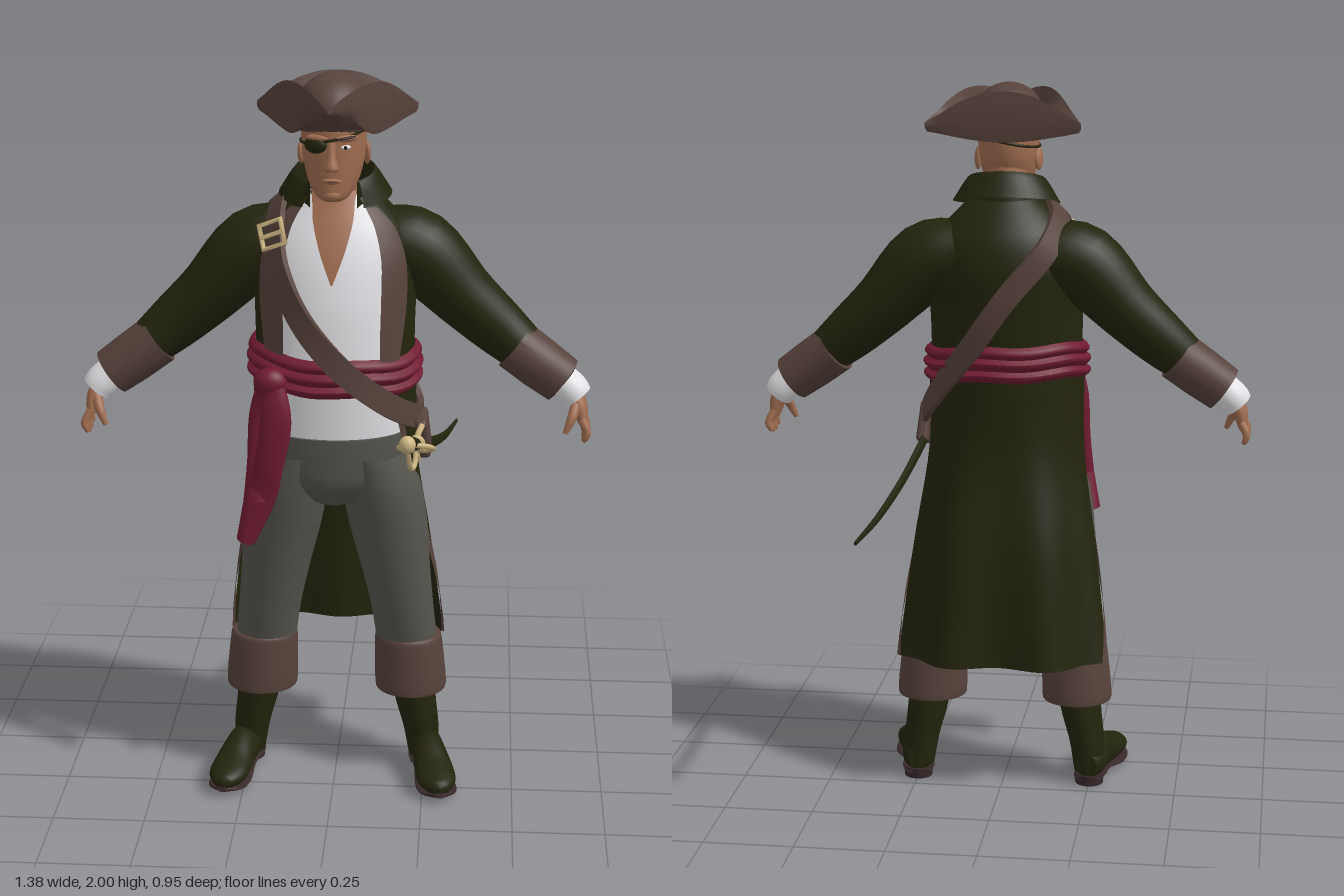
import * as THREE from 'three';
import { toCreasedNormals } from 'three/addons/utils/BufferGeometryUtils.js';
import { RoundedBoxGeometry } from 'three/addons/geometries/RoundedBoxGeometry.js';

const V = (x, y, z) => new THREE.Vector3(x, y, z);
const rad = THREE.MathUtils.degToRad;

export function createModel() {
  const root = new THREE.Group();
  const paint = (name, color) => Object.assign(new THREE.MeshStandardMaterial({ color, side: THREE.DoubleSide }), { name });
  const coat = paint('dark olive cloth', 0x23240d), leather = paint('brown leather', 0x57423b);
  const grey = paint('grey trousers', 0x56554e), red = paint('crimson sash', 0x701b32);
  const white = paint('white shirt', 0xe2e2e6), skin = paint('tanned skin', 0xa06d50);
  const gold = paint('pale gold', 0xcdb581), sole = paint('sole brown', 0x38282a), dark = paint('near black', 0x17150f);

  const add = (name, mat, geo, pos = [0, 0, 0], rot = [0, 0, 0], scale = [1, 1, 1]) => {
    const m = new THREE.Mesh(geo, mat);
    m.name = name;
    m.position.set(...pos); m.rotation.set(...rot); m.scale.set(...scale);
    root.add(m);
    return m;
  };
  const ball = (name, mat, pos, scale, rot) => add(name, mat, new THREE.SphereGeometry(1, 24, 16), pos, rot, scale);
  const tube = (name, mat, pts, r, closed = false) =>
    add(name, mat, new THREE.TubeGeometry(new THREE.CatmullRomCurve3(pts.map(p => V(...p)), closed), 40, r, 8, closed));

  // Skin a grid of points, creasing sharp edges
  const grid = (rows) => {
    const w = rows[0].length, index = [];
    for (let i = 0; i < rows.length - 1; i++) for (let j = 0; j < w - 1; j++) {
      const a = i * w + j, c = a + w;
      index.push(a, a + 1, c, a + 1, c + 1, c);
    }
    let g = new THREE.BufferGeometry().setFromPoints(rows.flat());
    g.setIndex(index);
    g.scale(100, 100, 100);
    g = toCreasedNormals(g, 0.9);
    return g.scale(0.01, 0.01, 0.01);
  };

  // Loft elliptical rings [x, y, z, a, b, startAngle, endAngle]; angle 0 faces the front
  const loft = (name, mat, rings, { flat = false, ref = V(0, 0, 1), n = 28, s = 4, cap = false, rule } = {}) => {
    const curve = f => new THREE.CatmullRomCurve3(rings.map(f), false, 'catmullrom');
    const mid = curve(r => V(r[0], r[1], r[2])), size = curve(r => V(r[3], r[4], 0));
    const arc = curve(r => V(r[5] ?? -180, r[6] ?? 180, 0));
    const rows = [], count = (rings.length - 1) * s;
    const ring = (i, k) => {
      const t = i / count, c = mid.getPoint(t), e = size.getPoint(t), f = arc.getPoint(t);
      let u = V(1, 0, 0), v = V(0, 0, 1);
      if (!flat) {
        const d = mid.getTangent(t);
        u = d.clone().cross(ref).normalize();
        v = u.clone().cross(d);
      }
      rows.push(Array.from({ length: n + 1 }, (_, j) => {
        const q = rad(f.x + (f.y - f.x) * j / n);
        const p = c.clone().addScaledVector(u, e.x * k * Math.sin(q)).addScaledVector(v, e.y * k * Math.cos(q));
        if (rule) rule(p, q, i);
        return p;
      }));
    };
    if (cap) ring(0, 0.001);
    for (let i = 0; i <= count; i++) ring(i, 1);
    if (cap) ring(count, 0.001);
    return add(name, mat, grid(rows));
  };

  // Torso profile: y, centre z, half width, half depth
  const body = [[1.0, 0.155, 0.215, 0.165], [1.2, 0.16, 0.215, 0.175], [1.3, 0.153, 0.213, 0.178], [1.4, 0.145, 0.216, 0.178],
    [1.5, 0.13, 0.22, 0.172], [1.58, 0.125, 0.2, 0.15], [1.64, 0.127, 0.15, 0.115], [1.7, 0.14, 0.085, 0.08]];
  const on = (y, grow, f0, f1) => {
    let i = 0;
    while (i < body.length - 2 && y > body[i + 1][0]) i++;
    const A = body[i], B = body[i + 1], t = (y - A[0]) / (B[0] - A[0]);
    const m = k => A[k] + (B[k] - A[k]) * t;
    return [0, y, m(1), m(2) + grow, m(3) + grow, f0, f1];
  };
  const shell = (name, mat, y0, y1, grow, f0, f1, k = 18) =>
    loft(name, mat, Array.from({ length: k + 1 }, (_, i) => on(y0 + (y1 - y0) * i / k, grow, f0, f1)), { flat: true, s: 1, n: 40 });

  // Shirt, chest and coat body
  shell('shirt', white, 1.02, 1.68, -0.012);
  loft('bareChest', skin, [[1.46, 0.5], [1.53, 8], [1.6, 16], [1.66, 27], [1.69, 40]].map(([y, w]) => on(y, -0.006, -w, w)), { flat: true, s: 3 });
  shell('coatBody', coat, 1.16, 1.69, 0, 37, 323);
  for (const s of [-1, 1])
    loft('lapel', leather, [[1.22, 50], [1.32, 57], [1.42, 60], [1.52, 58], [1.6, 56], [1.65, 50]].map(([y, f]) =>
      on(y, 0.008, s > 0 ? 35 : -f, s > 0 ? f : -35)), { flat: true });

  // Coat skirt, open at the front, with a trimmed edge
  const skirt = [[0.38, 0.05, 0.29, 0.13, 98], [0.7, 0.1, 0.255, 0.16, 77], [0.97, 0.15, 0.22, 0.168, 63], [1.2, 0.16, 0.22, 0.179, 42]];
  const folds = (p, q) => {
    const d = -0.022 * Math.max(0, (1.1 - p.y) / 0.7) * Math.cos(6 * q);
    p.x += Math.sin(q) * d * 0.5; p.z += Math.cos(q) * d;
  };
  loft('coatSkirt', coat, skirt.map(([y, z, a, b, f]) => [0, y, z, a, b, f, 360 - f]), { flat: true, n: 60, s: 6, rule: folds });
  for (const s of [-1, 1])
    loft('skirtTrim', leather, skirt.map(([y, z, a, b, f]) => [0, y, z, a + 0.005, b + 0.005, s > 0 ? f - 2 : -f - 5, s > 0 ? f + 5 : 2 - f]),
      { flat: true, n: 6, s: 6, rule: folds });
  loft('collar', coat, [[0, 1.65, 0.14, 0.1, 0.095, 38, 322], [0, 1.735, 0.15, 0.1, 0.088, 38, 322], [0, 1.73, 0.15, 0.115, 0.1, 38, 322],
    [0, 1.675, 0.14, 0.15, 0.118, 32, 328]], { flat: true, s: 3, rule: (p, q) => { p.y -= 0.025 * Math.cos(q); } });

  // Sash with wrapped ridges, knot and hanging tails
  const wraps = [0.002, 0.018, 0.022, 0.009, 0.02, 0.023, 0.009, 0.019, 0.016, 0.002];
  loft('sash', red, wraps.map((g, i) => on(1.175 + i * 0.0115, g)), { flat: true, n: 48, s: 2,
    rule: (p, q) => { p.y += -0.014 * Math.cos(q) - 0.01 * Math.sin(q) + 0.004 * Math.sin(5 * q); } });
  ball('sashKnot', red, [-0.16, 1.2, 0.32], [0.045, 0.04, 0.035]);
  loft('sashTail', red, [[-0.155, 1.21, 0.325, 0.03, 0.022], [-0.145, 1.1, 0.345, 0.042, 0.018], [-0.165, 0.98, 0.335, 0.04, 0.022],
    [-0.19, 0.88, 0.325, 0.042, 0.018], [-0.23, 0.755, 0.315, 0.026, 0.03]], { cap: true });
  loft('sashTail', red, [[-0.17, 1.2, 0.31, 0.025, 0.02], [-0.19, 1.1, 0.3, 0.03, 0.018], [-0.2, 0.98, 0.31, 0.025, 0.02],
    [-0.2, 0.87, 0.325, 0.035, 0.025]], { cap: true });

  // Shoulder strap: a closed band wrapped around the torso by angle and height
  const wrap = [[-38, 1.52], [-23, 1.39], [3, 1.26], [36, 1.15], [75, 1.08], [100, 1.08], [130, 1.16], [160, 1.29], [185, 1.43],
    [215, 1.56], [245, 1.635], [270, 1.665], [300, 1.63]].map(([f, y]) => {
    const [, , z, a, b] = on(y, 0.018);
    return V(a * Math.sin(rad(f)), y, z + b * Math.cos(rad(f)));
  });
  const band = new THREE.CatmullRomCurve3(wrap, true), rows = [];
  for (let i = 0; i <= 90; i++) {
    const p = band.getPoint(i / 90), t = band.getTangent(i / 90);
    const nor = p.clone().sub(V(0, Math.min(p.y, 1.5), 0.14)).normalize();
    const side = t.clone().cross(nor).normalize();
    nor.crossVectors(side, t);
    rows.push([[1, -1], [1, 1], [-1, 1], [-1, -1], [1, -1]].map(([w, h]) =>
      p.clone().addScaledVector(side, 0.032 * w).addScaledVector(nor, 0.008 * h)));
  }
  add('shoulderStrap', leather, grid(rows));
  add('strapBuckle', gold, new THREE.TorusGeometry(0.046, 0.008, 8, 4).rotateZ(Math.PI / 4), [-0.158, 1.585, 0.26], [-0.35, -0.45, 0.25]);
  add('buckleProng', gold, new THREE.BoxGeometry(0.07, 0.01, 0.01), [-0.158, 1.585, 0.264], [-0.35, -0.45, 0.25]);

  // Trousers, turned cuffs, boots, sleeves and hands on both sides
  loft('trouserSeat', grey, [[0, 0.84, 0.165, 0.07, 0.1], [0, 0.9, 0.165, 0.175, 0.14], [0, 0.97, 0.165, 0.2, 0.15], [0, 1.04, 0.16, 0.207, 0.16]], { flat: true, cap: true });
  for (const s of [-1, 1]) {
    const m = rings => rings.map(([x, ...r]) => [x * s, ...r]);
    loft('trouserLeg', grey, m([[0.2, 0.38, 0.105, 0.085, 0.08], [0.185, 0.5, 0.12, 0.087, 0.095], [0.167, 0.62, 0.135, 0.095, 0.106],
      [0.145, 0.76, 0.15, 0.108, 0.12], [0.125, 0.88, 0.16, 0.108, 0.135], [0.1, 0.98, 0.165, 0.095, 0.14]]), { flat: true });
    loft('trouserCuff', leather, m([[0.208, 0.285, 0.105, 0.07, 0.07], [0.21, 0.25, 0.105, 0.094, 0.094], [0.21, 0.27, 0.105, 0.1, 0.098],
      [0.204, 0.38, 0.107, 0.095, 0.092], [0.202, 0.412, 0.108, 0.09, 0.087], [0.2, 0.412, 0.108, 0.075, 0.07]]), { flat: true, s: 3 });
    loft('bootShaft', coat, m([[0.248, 0.035, 0.09, 0.042, 0.05], [0.241, 0.12, 0.098, 0.05, 0.061], [0.226, 0.2, 0.1, 0.057, 0.066],
      [0.21, 0.3, 0.105, 0.064, 0.07]]), { flat: true });
    const down = V(0, -1, 0);
    loft('bootFoot', coat, m([[0.245, 0.06, 0.042, 0.03, 0.035], [0.25, 0.06, 0.08, 0.045, 0.048], [0.265, 0.066, 0.16, 0.046, 0.056],
      [0.282, 0.052, 0.24, 0.054, 0.04], [0.293, 0.045, 0.3, 0.052, 0.03], [0.3, 0.042, 0.34, 0.03, 0.02], [0.302, 0.042, 0.352, 0.006, 0.006]]), { ref: down, cap: true });
    loft('bootSole', sole, m([[0.245, 0.022, 0.038, 0.034, 0.008], [0.252, 0.022, 0.09, 0.046, 0.008], [0.266, 0.02, 0.16, 0.042, 0.008],
      [0.285, 0.01, 0.24, 0.056, 0.008], [0.296, 0.014, 0.31, 0.05, 0.008], [0.302, 0.026, 0.352, 0.015, 0.008]]), { ref: down, cap: true });
    add('bootHeel', sole, new THREE.CylinderGeometry(0.043, 0.04, 0.03, 20), [0.25 * s, 0.015, 0.077]);

    loft('sleeve', coat, m([[0.12, 1.535, 0.1, 0.095, 0.105], [0.22, 1.51, 0.1, 0.108, 0.11], [0.34, 1.39, 0.1, 0.088, 0.092],
      [0.44, 1.3, 0.105, 0.076, 0.075], [0.53, 1.225, 0.12, 0.06, 0.062]]), { cap: true });
    loft('sleeveCuff', leather, m([[0.485, 1.255, 0.112, 0.055, 0.055], [0.483, 1.256, 0.112, 0.071, 0.074], [0.55, 1.207, 0.12, 0.07, 0.072],
      [0.612, 1.163, 0.125, 0.066, 0.068], [0.613, 1.162, 0.125, 0.04, 0.04]]), { s: 1 });
    loft('shirtCuff', white, m([[0.59, 1.18, 0.125, 0.046, 0.048], [0.635, 1.14, 0.13, 0.047, 0.053], [0.653, 1.118, 0.133, 0.043, 0.05]]), { cap: true });
    loft('palm', skin, m([[0.635, 1.14, 0.13, 0.024, 0.03], [0.658, 1.1, 0.138, 0.022, 0.04], [0.668, 1.055, 0.145, 0.014, 0.042]]), { cap: true, n: 16 });
    for (let i = 0; i < 4; i++) {
      const z = 0.11 + i * 0.024, y = 1.0 + Math.abs(i - 1.6) * 0.008;
      loft('finger', skin, m([[0.664, 1.07, z, 0.012, 0.012], [0.679, 1.04, z + (i - 1.5) * 0.006, 0.011, 0.011],
        [0.676, y + 0.012, z + (i - 1.5) * 0.008, 0.009, 0.009], [0.67, y, z + (i - 1.5) * 0.008, 0.005, 0.005]]), { cap: true, n: 10, s: 3 });
    }
    loft('thumb', skin, m([[0.65, 1.11, 0.16, 0.014, 0.014], [0.637, 1.075, 0.19, 0.013, 0.012], [0.62, 1.035, 0.2, 0.007, 0.007]]), { cap: true, n: 10 });
  }

  // Neck, head and face
  loft('neck', skin, [[0, 1.62, 0.14, 0.07, 0.07], [0, 1.7, 0.155, 0.062, 0.066], [0, 1.78, 0.175, 0.062, 0.075]], { flat: true });
  loft('head', skin, [[0, 1.678, 0.25, 0.028, 0.035], [0, 1.69, 0.24, 0.045, 0.06], [0, 1.725, 0.216, 0.066, 0.086], [0, 1.78, 0.2, 0.08, 0.104],
    [0, 1.83, 0.195, 0.085, 0.11], [0, 1.88, 0.195, 0.085, 0.108], [0, 1.93, 0.195, 0.06, 0.08]], { flat: true, cap: true });
  loft('nose', skin, [[0, 1.762, 0.305, 0.015, 0.012], [0, 1.77, 0.309, 0.02, 0.022], [0, 1.8, 0.305, 0.012, 0.016], [0, 1.838, 0.298, 0.012, 0.012]], { flat: true, cap: true, n: 14 });
  ball('lips', skin, [0, 1.735, 0.299], [0.026, 0.008, 0.01]);
  ball('mouthLine', sole, [0, 1.736, 0.302], [0.022, 0.0018, 0.008]);
  ball('chin', skin, [0, 1.697, 0.286], [0.026, 0.018, 0.018]);
  for (const s of [-1, 1]) {
    ball('ear', skin, [0.085 * s, 1.79, 0.185], [0.01, 0.032, 0.02], [0.2, 0.3 * s, 0]);
    ball('browRidge', skin, [0.036 * s, 1.846, 0.29], [0.032, 0.01, 0.014], [0, 0.35 * s, 0]);
  }
  ball('eyebrow', sole, [0.038, 1.848, 0.297], [0.026, 0.004, 0.01], [0, 0.4, 0.1]);
  ball('eye', white, [0.036, 1.823, 0.293], [0.014, 0.006, 0.008], [0, 0.35, 0]);
  ball('pupil', dark, [0.036, 1.823, 0.298], [0.005, 0.005, 0.005]);
  ball('eyePatch', coat, [-0.04, 1.828, 0.288], [0.033, 0.023, 0.018], [0, -0.4, 0]);
  tube('patchStrap', coat, Array.from({ length: 16 }, (_, i) => {
    const q = i * Math.PI / 8;
    return [0.086 * Math.sin(q), 1.842 + 0.018 * Math.sin(q), 0.195 + 0.111 * Math.cos(q)];
  }), 0.004, true);

  // Three-cornered hat: brim folded up between the corners, round crown inside
  const corners = [[0, 0.25], [0.21, -0.15], [-0.21, -0.15], [0, 0.25]];
  const edge = q => {
    const deg = THREE.MathUtils.radToDeg(q), i = Math.abs(deg) > 125 ? 1 : deg >= 0 ? 0 : 2;
    const [a, b] = [corners[i], corners[i + 1]], dx = b[0] - a[0], dz = b[1] - a[1];
    const area = Math.abs(a[0] * b[1] - a[1] * b[0]);
    const r = area / Math.abs(Math.sin(q) * dz - Math.cos(q) * dx), low = area / Math.hypot(dx, dz);
    return [r, THREE.MathUtils.clamp((r - low) / (0.255 - low), 0, 1)];
  };
  loft('hatBrim', leather, [0, 1, 2, 3, 4].map(i => [0, 1.86 + i * 0.01, 0.2, 0.085, 0.105]), { flat: true, s: 1, n: 72,
    rule: (p, q, i) => {
      const [r, k] = edge(q), front = Math.max(0, Math.cos(q)) ** 3;
      const low = 1.845 + 0.06 * front + 0.028 * k, top = 1.983 - 0.085 * k ** 1.2 + 0.04 * front * k;
      const set = (rr, y) => p.set(rr * Math.sin(q), y, 0.2 + rr * Math.cos(q));
      if (i === 0) p.y = 1.865;
      if (i === 1) set(r * 0.97, low);
      if (i === 2) set(r * (1.03 - 0.03 * k), low + (top - low) * 0.45);
      if (i === 3) set(r * (0.97 + 0.03 * k), top);
      if (i === 4) p.y = 1.9;
    } });
  ball('hatCrown', leather, [0, 1.9, 0.195], [0.1, 0.1, 0.118]);

  // Sword in its scabbard at the left hip
  loft('scabbard', coat, [[0.225, 1.04, 0.33, 0.009, 0.02], [0.24, 0.985, 0.15, 0.009, 0.019], [0.265, 0.92, -0.06, 0.008, 0.016],
    [0.295, 0.87, -0.28, 0.007, 0.012], [0.322, 0.848, -0.475, 0.004, 0.006]], { ref: V(0, -1, 0), cap: true, n: 12, s: 8 });
  add('scabbardHanger', leather, new RoundedBoxGeometry(0.034, 0.12, 0.085, 3, 0.012), [0.24, 1.03, 0.195], [0.3, 0, 0.1]);
  tube('swordGrip', coat, [[0.226, 1.04, 0.33], [0.216, 1.065, 0.39], [0.207, 1.078, 0.45]], 0.016);
  ball('pommel', gold, [0.206, 1.08, 0.455], [0.022, 0.024, 0.022]);
  add('guardShell', gold, new THREE.TorusGeometry(0.045, 0.007, 8, 28), [0.225, 1.035, 0.345], [1.1, 0, 0]);
  ball('guardCollar', gold, [0.226, 1.04, 0.33], [0.024, 0.03, 0.013], [0.3, 0, 0]);
  tube('knuckleBow', gold, [[0.226, 1.03, 0.325], [0.222, 0.99, 0.35], [0.214, 1.0, 0.405], [0.206, 1.07, 0.455]], 0.007);
  tube('crossGuard', gold, [[0.24, 1.085, 0.3], [0.228, 1.06, 0.325], [0.226, 1.02, 0.32], [0.23, 0.985, 0.295]], 0.008);
  return root;
}
